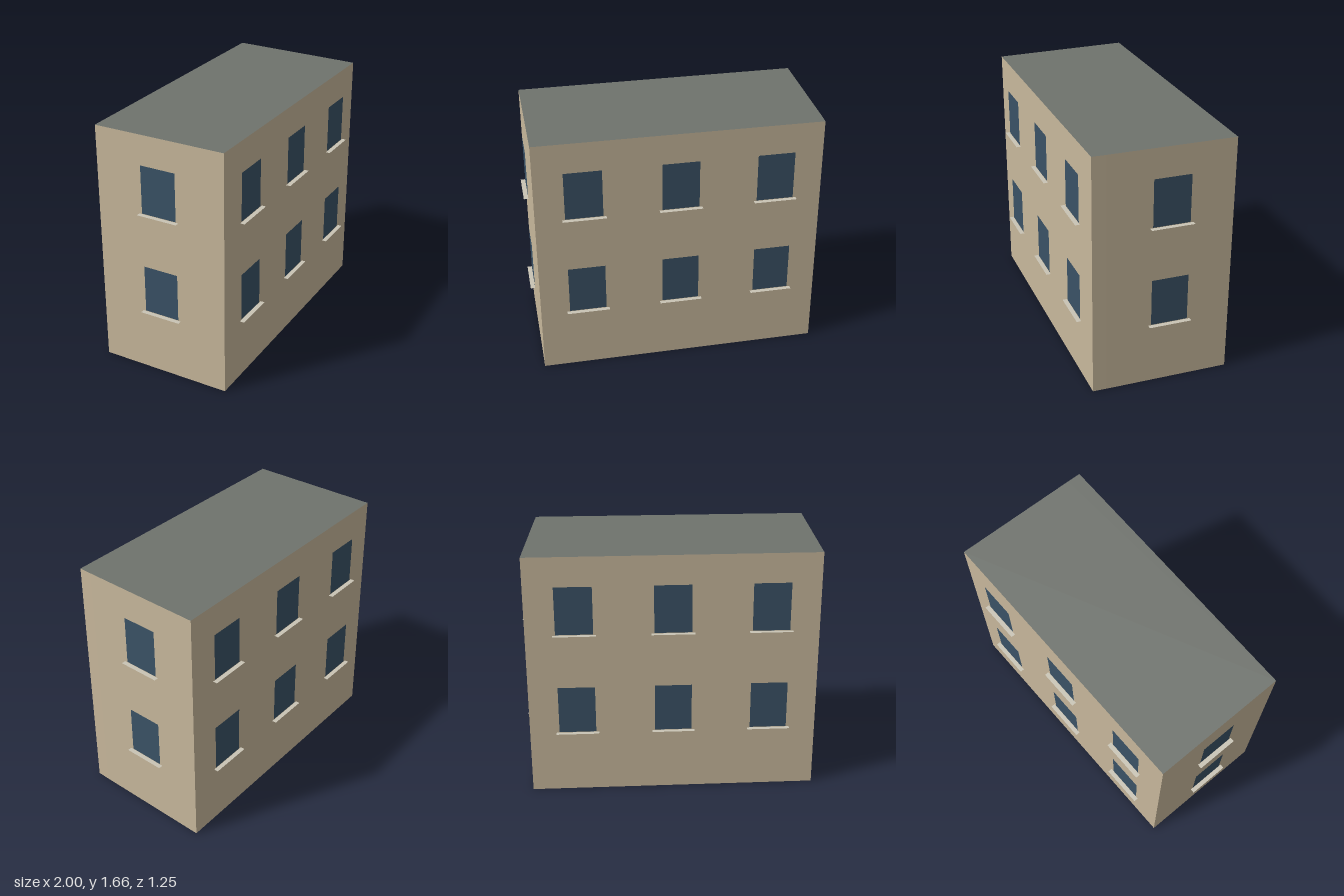
import * as THREE from 'three';

const HEIGHT = 1.66;
const WINDOW = { width: 0.245, height: 0.325, offset: 0.014 };
const SILL = { width: 0.283, depth: 0.03 };
const FLOORS = [0.44, 1.14]; // window bottoms

// Footprint corners [x, z], running round from the front left of the plan
const CORNERS = [[-0.86, 0.608], [0.997, 0.305], [0.987, 0.213], [0.887, -0.612], [-1, -0.29]];
// Windows per floor on the wall that starts at each corner
const WINDOWS_PER_WALL = [3, 0, 1, 3, 1];

const material = (color, side = THREE.FrontSide) => new THREE.MeshStandardMaterial({ color, side });

export function createModel() {
  const model = new THREE.Group();
  model.name = 'building';

  const wallMat = material(0xc8b89c);
  const roofMat = material(0x6f736d);
  const glassMat = material(0x3a5266, THREE.DoubleSide);
  const sillMat = material(0xc9c4b5, THREE.DoubleSide);

  // Solid body: flat caps in the roof colour, walls around them
  const plan = new THREE.Shape(CORNERS.map(([x, z]) => new THREE.Vector2(x, -z)));
  const bodyGeo = new THREE.ExtrudeGeometry(plan, { depth: HEIGHT, bevelEnabled: false });
  bodyGeo.rotateX(-Math.PI / 2);
  const body = new THREE.Mesh(bodyGeo, [roofMat, wallMat]);
  body.name = 'wallsAndRoof';
  model.add(body);

  // Window pane standing just off the wall, with a thin flat sill at its foot
  const paneGeo = new THREE.PlaneGeometry(WINDOW.width, WINDOW.height);
  paneGeo.translate(0, WINDOW.height / 2, WINDOW.offset);
  const sillGeo = new THREE.PlaneGeometry(SILL.width, SILL.depth);
  sillGeo.rotateX(-Math.PI / 2);
  sillGeo.translate(0, -0.003, WINDOW.offset + SILL.depth / 2);

  function makeWindow() {
    const group = new THREE.Group();
    group.name = 'window';
    const pane = new THREE.Mesh(paneGeo, glassMat);
    pane.name = 'windowPane';
    const sill = new THREE.Mesh(sillGeo, sillMat);
    sill.name = 'windowSill';
    group.add(pane, sill);
    return group;
  }

  // Windows spaced evenly along every wall, on both floors
  CORNERS.forEach(([x0, z0], i) => {
    const [x1, z1] = CORNERS[(i + 1) % CORNERS.length];
    const count = WINDOWS_PER_WALL[i];
    for (let k = 0; k < count; k++) {
      const t = (k + 0.5) / count;
      for (const y of FLOORS) {
        const win = makeWindow();
        win.position.set(x0 + (x1 - x0) * t, y, z0 + (z1 - z0) * t);
        win.rotation.y = Math.atan2(z0 - z1, x1 - x0);
        model.add(win);
      }
    }
  });

  return model;
}
